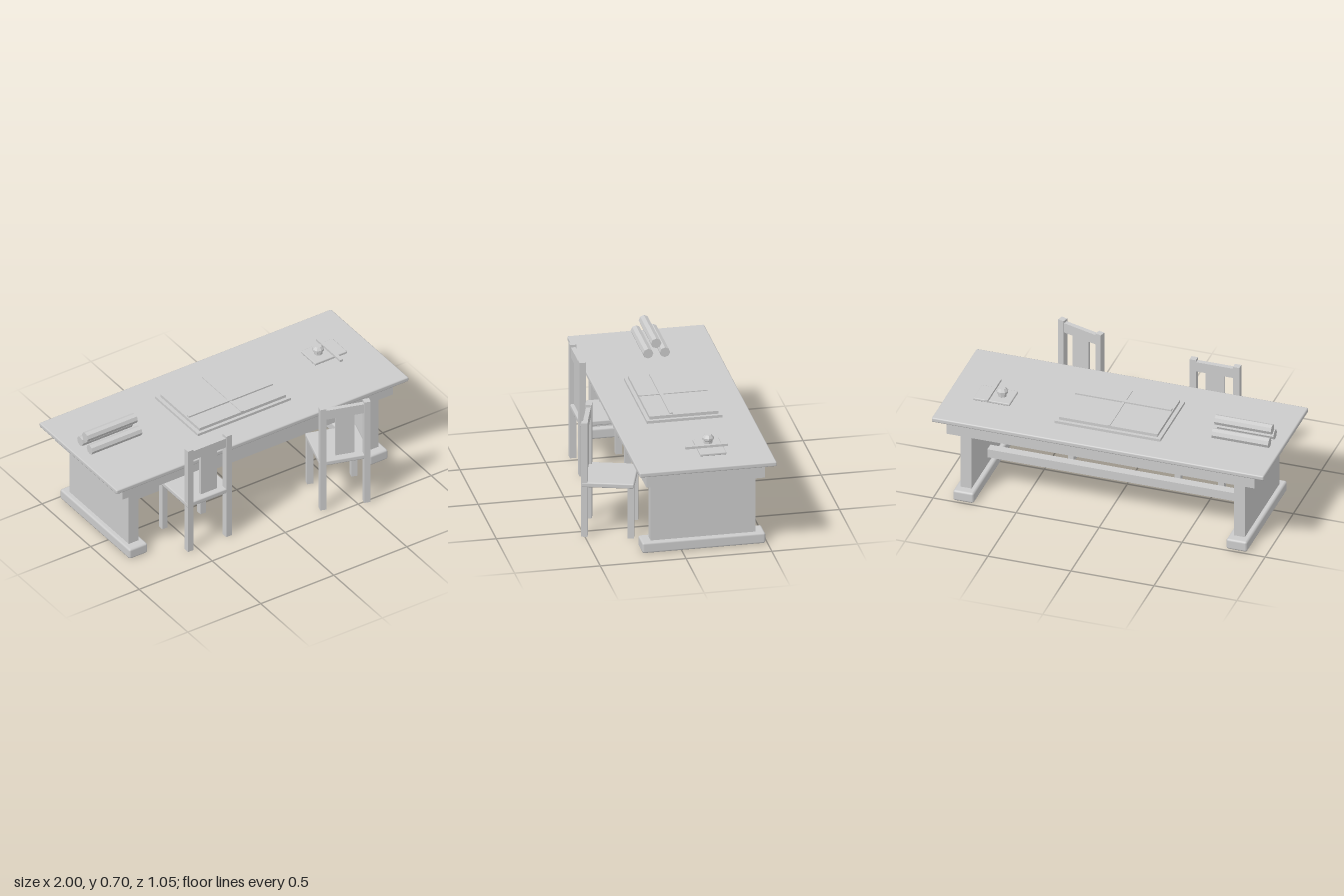
import * as THREE from 'three';
import { RoundedBoxGeometry } from 'three/addons/geometries/RoundedBoxGeometry.js';

const material = new THREE.MeshStandardMaterial({ color: 0xcccccc });
const facetedMaterial = new THREE.MeshStandardMaterial({ color: 0xcccccc, flatShading: true });

function add(parent, name, geometry, x, y, z, mat = material) {
  const mesh = new THREE.Mesh(geometry, mat);
  mesh.name = name;
  mesh.position.set(x, y, z);
  parent.add(mesh);
  return mesh;
}

// Box given by its [min, max] range on each axis; bevel > 0 softens its edges
function box(parent, name, [x0, x1], [y0, y1], [z0, z1], bevel = 0) {
  const size = [x1 - x0, y1 - y0, z1 - z0];
  const geometry = bevel
    ? new RoundedBoxGeometry(...size, 1, bevel)
    : new THREE.BoxGeometry(...size);
  return add(parent, name, geometry, (x0 + x1) / 2, (y0 + y1) / 2, (z0 + z1) / 2);
}

function group(parent, name) {
  const g = new THREE.Group();
  g.name = name;
  parent.add(g);
  return g;
}

function buildTable(parent) {
  const table = group(parent, 'table');
  box(table, 'tableTop', [-1, 1], [0.525, 0.554], [-0.53, 0.27], 0.008);
  box(table, 'apron', [-0.927, 0.927], [0.43, 0.53], [-0.475, 0.216]);
  box(table, 'stretcher', [-0.8, 0.8], [0.115, 0.168], [-0.157, -0.103]);
  for (const side of [-1, 1]) {
    const x = side * 0.823;
    box(table, 'legPanel', [x - 0.033, x + 0.033], [0.06, 0.435], [-0.435, 0.176]);
    box(table, 'foot', [x - 0.063, x + 0.063], [0, 0.067], [-0.489, 0.23], 0.013);
  }
}

// Chair centred on its seat, with the back towards its own +z
function buildChair(parent, name, x, z, turn) {
  const chair = group(parent, name);
  chair.position.set(x, 0, z);
  chair.rotation.y = turn;
  box(chair, 'seat', [-0.152, 0.152], [0.307, 0.338], [-0.152, 0.152], 0.008);
  for (const side of [-1, 1]) {
    const c = side * 0.131;
    box(chair, 'backPost', [c - 0.019, c + 0.019], [0, 0.705], [0.115, 0.152]);
    box(chair, 'frontLeg', [c - 0.018, c + 0.018], [0, 0.315], [-0.15, -0.114]);
  }
  box(chair, 'topRail', [-0.115, 0.115], [0.628, 0.69], [0.12, 0.147]);
  box(chair, 'backSplat', [-0.056, 0.056], [0.362, 0.632], [0.126, 0.142]);
}

// Flat board in two tiers with two crossing strips
function buildBoard(parent) {
  const board = group(parent, 'board');
  box(board, 'boardBase', [-0.32, 0.318], [0.552, 0.57], [-0.358, 0.083]);
  box(board, 'boardPanel', [-0.297, 0.297], [0.568, 0.588], [-0.338, 0.063]);
  box(board, 'longStrip', [-0.29, 0.288], [0.586, 0.597], [-0.076, -0.056]);
  box(board, 'crossStrip', [-0.011, 0.005], [0.586, 0.593], [-0.338, 0.063]);
}

// Three rolled papers stacked in a pyramid
function buildScrolls(parent) {
  const scrolls = group(parent, 'scrolls');
  const geometry = new THREE.CylinderGeometry(0.03, 0.03, 0.342, 8).rotateZ(Math.PI / 2);
  for (const [y, z] of [[0.584, -0.116], [0.584, -0.214], [0.644, -0.163]]) {
    add(scrolls, 'scroll', geometry, -0.759, y, z, facetedMaterial);
  }
}

// Tray with an inkpot and a pen
function buildWritingSet(parent) {
  const set = group(parent, 'writingSet');
  box(set, 'tray', [0.617, 0.837], [0.553, 0.569], [-0.27, -0.118], 0.005);
  box(set, 'pen', [0.741, 0.761], [0.572, 0.586], [-0.296, -0.048]);
  const profile = [[0, 0], [0.025, 0], [0.025, 0.018], [0.034, 0.025], [0.034, 0.037],
    [0.021, 0.054], [0, 0.054]].map(([r, y]) => new THREE.Vector2(r, y));
  add(set, 'inkpot', new THREE.LatheGeometry(profile, 8), 0.687, 0.568, -0.194, facetedMaterial);
}

export function createModel() {
  const model = new THREE.Group();
  model.name = 'tableWithChairs';
  buildTable(model);
  buildChair(model, 'straightChair', -0.417, 0.2, 0);
  buildChair(model, 'turnedChair', 0.473, 0.332, -0.3);
  buildBoard(model);
  buildScrolls(model);
  buildWritingSet(model);
  return model;
}
